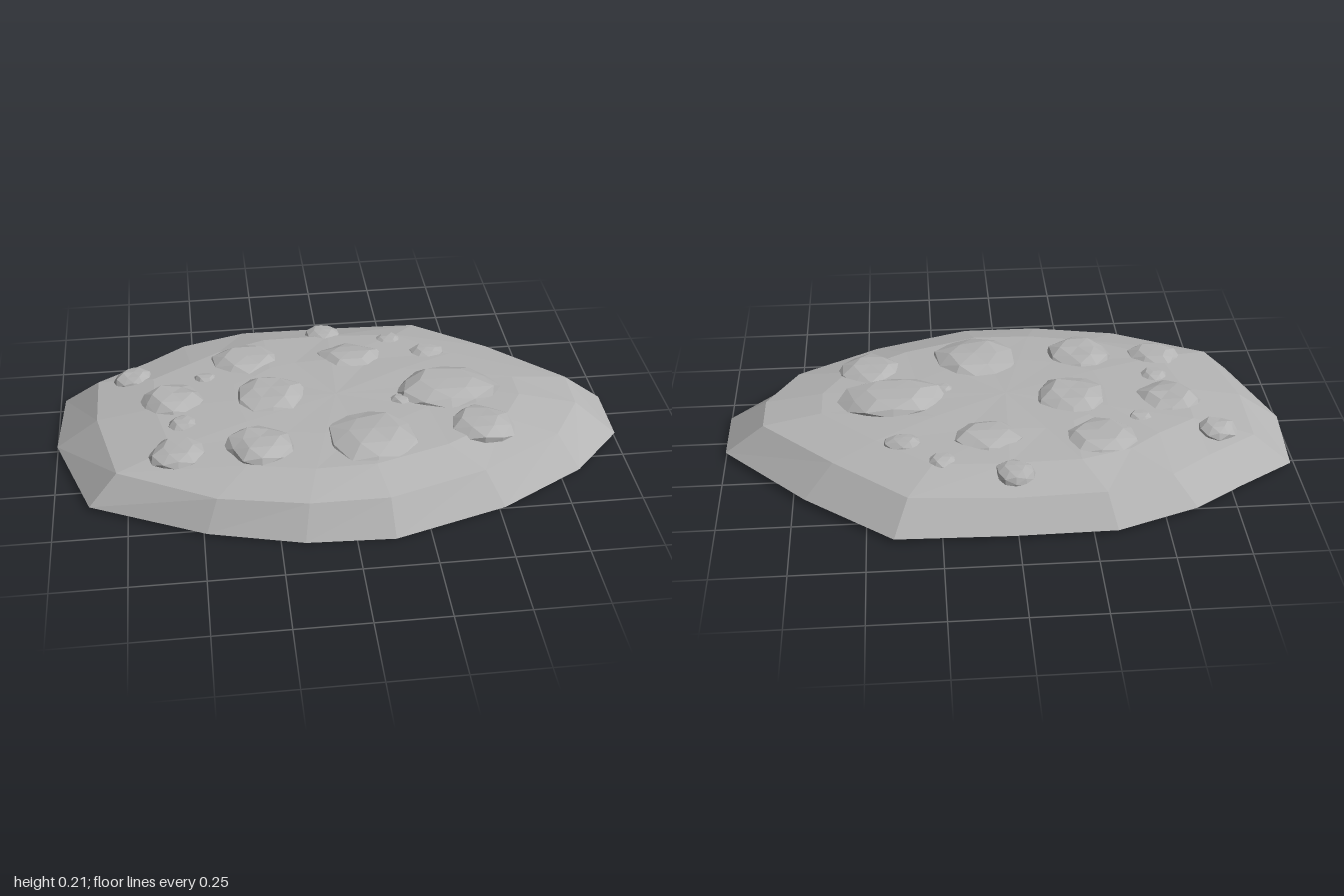
import * as THREE from 'three';

// Outer rim and shoulder outlines, [x, y, z] in matching order around the mound
const rim = [
  [-0.98, 0.02, -0.29], [-0.78, 0.02, -0.41], [-0.61, 0.02, -0.52], [-0.33, 0.015, -0.615],
  [0.02, 0.015, -0.62], [0.41, 0.015, -0.61], [0.71, 0.02, -0.38], [1, 0.02, -0.085],
  [1, 0.015, 0.14], [0.82, 0.01, 0.33], [0.52, 0.005, 0.5], [0.13, 0, 0.615],
  [-0.17, 0.003, 0.605], [-0.49, 0.01, 0.53], [-0.88, 0.015, 0.35], [-1, 0.02, 0],
];
const shoulder = [
  [-0.85, 0.12, -0.25], [-0.67, 0.12, -0.36], [-0.53, 0.12, -0.46], [-0.3, 0.115, -0.535],
  [0.02, 0.11, -0.54], [0.36, 0.115, -0.52], [0.61, 0.125, -0.32], [0.86, 0.125, -0.08],
  [0.86, 0.12, 0.08], [0.75, 0.12, 0.26], [0.46, 0.115, 0.43], [0.12, 0.115, 0.54],
  [-0.15, 0.115, 0.54], [-0.45, 0.115, 0.48], [-0.78, 0.12, 0.31], [-0.85, 0.125, 0],
];

// Half-embedded stones: x, z, radius x, radius z, top y
const stones = [
  [-0.72, -0.23, 0.07, 0.06, 0.168], [-0.58, -0.05, 0.125, 0.1, 0.186], [-0.3, -0.27, 0.15, 0.11, 0.183],
  [-0.23, -0.03, 0.13, 0.12, 0.2], [0, -0.44, 0.07, 0.06, 0.172], [0.08, -0.25, 0.13, 0.095, 0.186],
  [0.4, 0, 0.19, 0.125, 0.208], [0.48, 0.21, 0.125, 0.115, 0.182], [-0.29, 0.26, 0.12, 0.11, 0.195],
  [0.1, 0.25, 0.17, 0.16, 0.192], [-0.55, 0.1, 0.06, 0.05, 0.176], [-0.57, 0.25, 0.1, 0.085, 0.175],
  [0.37, -0.26, 0.07, 0.05, 0.177], [0.24, -0.37, 0.06, 0.05, 0.168], [-0.46, -0.17, 0.05, 0.04, 0.176],
  [0.23, 0.05, 0.05, 0.04, 0.178],
];

// Repeatable noise in -1..1 from a position
function noise(x, y, z, seed) {
  const s = Math.sin(x * 12.99 + y * 78.23 + z * 37.72 + seed * 4.17) * 43758.55;
  return 2 * (s - Math.floor(s)) - 1;
}

// Faceted open shell: rim, shoulder and two gentle upper rings closing on a crown
function moundGeometry() {
  const shrink = (k, y) => shoulder.map(([x, , z], i) => [x * k, y + 0.004 * noise(i, k, 0, 1), z * k]);
  const rings = [rim, shoulder, shrink(0.76, 0.157), shrink(0.42, 0.169)];
  const n = rim.length;
  const points = rings.flat(2).concat([0, 0.172, 0]);
  const faces = [];
  for (let r = 0; r < rings.length; r++) {
    for (let i = 0; i < n; i++) {
      const a = r * n + i, b = r * n + (i + 1) % n;
      if (r === rings.length - 1) faces.push(a, rings.length * n, b);
      else faces.push(a, a + n, b, b, a + n, b + n);
    }
  }
  const g = new THREE.BufferGeometry();
  g.setAttribute('position', new THREE.Float32BufferAttribute(points, 3));
  g.setIndex(faces);
  g.computeVertexNormals();
  return g;
}

// Chipped, flattened stone with a worn top
function stoneGeometry(rx, ry, rz, seed) {
  const g = new THREE.IcosahedronGeometry(1, 1);
  const p = g.attributes.position;
  for (let i = 0; i < p.count; i++) {
    const [x, y, z] = [p.getX(i), p.getY(i), p.getZ(i)].map((v) => Math.round(v * 1000) / 1000 + 0);
    const k = 1 + 0.1 * noise(x, y, z, seed);
    p.setXYZ(i, x * k * rx, Math.max(-0.85, Math.min(0.85, y * k)) / 0.85 * ry, z * k * rz);
  }
  g.computeVertexNormals();
  return g;
}

export function createModel() {
  const model = new THREE.Group();
  model.name = 'rubbleMound';
  const stoneGrey = new THREE.MeshStandardMaterial({ color: 0xb4b4b4, flatShading: true, side: THREE.DoubleSide });
  stoneGrey.name = 'stone grey';

  const mound = new THREE.Mesh(moundGeometry(), stoneGrey);
  mound.name = 'moundShell';
  model.add(mound);

  const rubble = new THREE.Group();
  rubble.name = 'embeddedStones';
  stones.forEach(([x, z, rx, rz, top], i) => {
    const ry = 0.03 + 0.15 * Math.min(rx, rz);
    const stone = new THREE.Mesh(stoneGeometry(rx, ry, rz, i + 1), stoneGrey);
    stone.name = 'stone' + (i + 1);
    stone.position.set(x, top - ry, z);
    rubble.add(stone);
  });
  model.add(rubble);
  return model;
}
